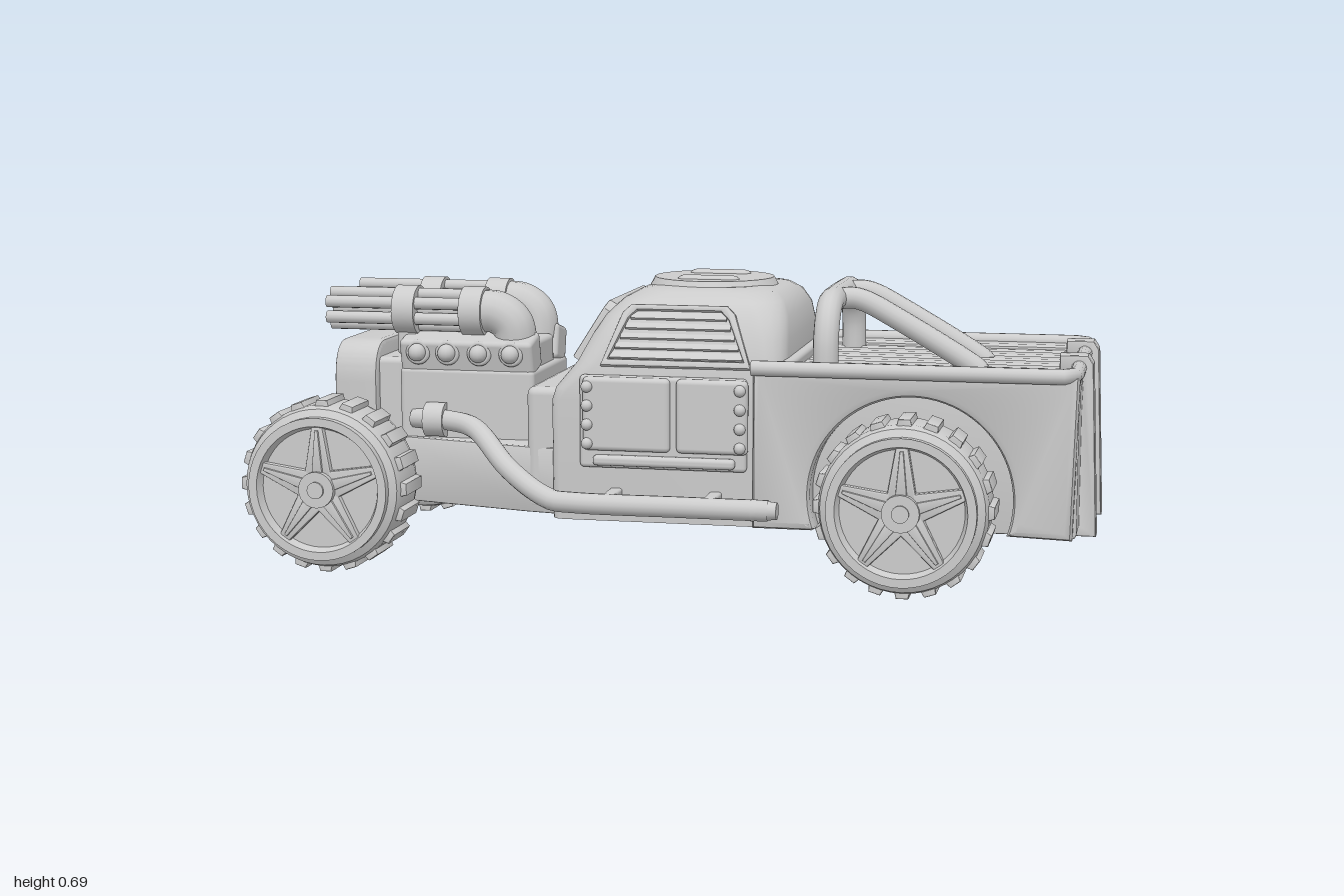
import * as THREE from 'three';
import { toCreasedNormals } from 'three/addons/utils/BufferGeometryUtils.js';
import { RoundedBoxGeometry } from 'three/addons/geometries/RoundedBoxGeometry.js';

const mat = new THREE.MeshStandardMaterial({ color: 0xcccccc });
const V = (x, y, z) => new THREE.Vector3(x, y, z);

function add(parent, name, geo, x = 0, y = 0, z = 0) {
  const m = new THREE.Mesh(geo, mat);
  m.name = name;
  m.position.set(x, y, z);
  parent.add(m);
  return m;
}
const rbox = (w, h, d, r = 0.01) => new RoundedBoxGeometry(w, h, d, 2, r);
const poly = pts => new THREE.Shape(pts.map(p => new THREE.Vector2(...p)));
const tube = (pts, r, closed = false, tension = 0.3) => new THREE.TubeGeometry(
  new THREE.CatmullRomCurve3(pts.map(p => V(...p)), closed, 'catmullrom', tension), 64, r, 14, closed);
const cylX = (r, len, n = 20) => new THREE.CylinderGeometry(r, r, len, n).rotateZ(Math.PI / 2);
const cylZ = (r, len, n = 20) => new THREE.CylinderGeometry(r, r, len, n).rotateX(Math.PI / 2);

// Extrusion centred on z = 0, with the bevel kept inside the outline
function slab(shape, depth, bevel = 0.006) {
  const g = new THREE.ExtrudeGeometry(shape, {
    depth: depth - 2 * bevel, bevelThickness: bevel, bevelSize: bevel, bevelOffset: -bevel,
    bevelSegments: 2, curveSegments: 24 });
  return toCreasedNormals(g.translate(0, 0, bevel - depth / 2), 0.6);
}

// Stack of rounded rectangles: each row is [y, x0, x1, half width, corner radius]
function loft(rows) {
  const pos = [], idx = [], k = 6, n = 4 * k;
  for (const [y, x0, x1, h, r] of rows) {
    for (let i = 0; i < n; i++) {
      const q = Math.floor(i / k), a = (q + (i % k) / (k - 1)) * Math.PI / 2;
      const cx = q === 0 || q === 3 ? x1 - r : x0 + r, cz = q < 2 ? h - r : r - h;
      pos.push(cx + r * Math.cos(a), y, cz + r * Math.sin(a));
    }
  }
  for (let j = 0; j < rows.length - 1; j++) for (let i = 0; i < n; i++) {
    const a = j * n + i, b = j * n + (i + 1) % n;
    idx.push(a, a + n, b, b, a + n, b + n);
  }
  const top = (rows.length - 1) * n;
  for (let i = 1; i < n - 1; i++) idx.push(0, i, i + 1, top, top + i + 1, top + i);
  const g = new THREE.BufferGeometry();
  g.setAttribute('position', new THREE.Float32BufferAttribute(pos, 3));
  g.setIndex(idx);
  return toCreasedNormals(g, 0.6);
}

// Wheel facing +z, inner face at z = 0
function makeWheel(name) {
  const w = new THREE.Group();
  w.name = name;
  const prof = [[0, 0.01], [0.1, 0.01], [0.13, 0], [0.17, 0.002], [0.188, 0.015], [0.194, 0.04], [0.194, 0.14],
    [0.187, 0.16], [0.17, 0.17], [0.17, 0.19], [0.15, 0.19], [0.142, 0.168], [0, 0.168]];
  const lathe = new THREE.LatheGeometry(prof.map(p => new THREE.Vector2(...p)), 48).rotateX(Math.PI / 2);
  add(w, 'tyre', toCreasedNormals(lathe, 0.6));
  const tread = slab(poly([[-0.02, -0.012], [0.02, -0.012], [0.014, 0.012], [-0.014, 0.012]]), 0.115, 0.004);
  for (let i = 0; i < 20; i++) {
    const a = i / 20 * Math.PI * 2;
    add(w, 'treadLug', tread, -Math.sin(a) * 0.194, Math.cos(a) * 0.194, 0.088).rotation.z = a;
  }
  // five tapering spokes, each with a raised ridge
  const spoke = slab(poly([[-0.036, 0.02], [0.036, 0.02], [0.014, 0.148], [-0.014, 0.148]]), 0.024, 0.005);
  const ridge = slab(poly([[-0.014, 0.03], [0.014, 0.03], [0.004, 0.14], [-0.004, 0.14]]), 0.012, 0.003);
  for (let i = 0; i < 5; i++) {
    const a = i / 5 * Math.PI * 2;
    add(w, 'spoke', spoke, 0, 0, 0.17).rotation.z = a;
    add(w, 'spokeRidge', ridge, 0, 0, 0.182).rotation.z = a;
  }
  add(w, 'hub', cylZ(0.043, 0.035, 24), 0, 0, 0.18);
  add(w, 'hubCap', cylZ(0.02, 0.02), 0, 0, 0.193);
  return w;
}

// Louvred window facing +z with its base at y = 0
function makeLouvre(name, bottom, top, h, slats) {
  const g = new THREE.Group(), c = 0.02;
  g.name = name;
  const outline = (b, t, y0, y1) => [[-b, y0], [b, y0], [t + c / 2, y1 - c], [t - c / 2, y1], [c / 2 - t, y1], [-t - c / 2, y1 - c]];
  const frame = poly(outline(bottom, top, 0, h));
  frame.holes.push(poly(outline(bottom - 0.018, top - 0.015, 0.016, h - 0.014)));
  add(g, 'windowFrame', slab(frame, 0.03, 0.005));
  for (let i = 0; i < slats; i++) {
    const t = (i + 0.5) / slats, w = bottom + (top - bottom) * t - 0.016;
    add(g, 'louvre', new THREE.BoxGeometry(2 * w, 0.022, 0.006), 0, 0.016 + t * (h - 0.03), 0.006).rotation.x = -0.5;
  }
  return g;
}

export function createModel() {
  const car = new THREE.Group();
  car.name = 'hotRodTruck';

  // Chassis pan and firewall
  const plan = poly([[-0.86, -0.13], [-0.68, -0.165], [-0.35, -0.245], [-0.2, -0.27], [0.3, -0.27],
    [0.3, 0.27], [-0.2, 0.27], [-0.35, 0.245], [-0.68, 0.165], [-0.86, 0.13]]);
  add(car, 'chassis', slab(plan, 0.16).rotateX(Math.PI / 2), 0, 0.21, 0);
  add(car, 'firewall', rbox(0.12, 0.3, 0.5, 0.02), -0.29, 0.285, 0);

  // Cab
  add(car, 'cab', loft([[0.125, -0.28, 0.27, 0.285, 0.03], [0.41, -0.28, 0.27, 0.29, 0.03],
    [0.44, -0.272, 0.275, 0.29, 0.04], [0.5, -0.225, 0.28, 0.285, 0.06], [0.56, -0.195, 0.278, 0.27, 0.07],
    [0.61, -0.165, 0.272, 0.25, 0.08], [0.645, -0.13, 0.255, 0.225, 0.09], [0.664, -0.095, 0.23, 0.19, 0.09],
    [0.672, -0.05, 0.19, 0.15, 0.09]]));
  add(car, 'roofHatch', new THREE.CylinderGeometry(0.145, 0.157, 0.022, 40), 0.06, 0.674, 0);
  for (const s of [1, -1]) {
    add(car, 'roofHandle', new THREE.CapsuleGeometry(0.02, 0.11, 6, 12).rotateZ(Math.PI / 2).scale(1, 0.5, 1), 0.06, 0.684, s * 0.075);
  }
  const screen = makeLouvre('windscreen', 0.22, 0.185, 0.155, 6);
  screen.position.set(-0.228, 0.5, 0);
  screen.rotation.set(-0.54, -Math.PI / 2, 0, 'YXZ');
  car.add(screen);

  // Radiator with grille bars
  const rad = poly([[-0.155, 0.125], [0.155, 0.125], [0.16, 0.42]]);
  rad.bezierCurveTo(0.16, 0.49, 0.13, 0.52, 0.08, 0.52);
  rad.lineTo(-0.08, 0.52);
  rad.bezierCurveTo(-0.13, 0.52, -0.16, 0.49, -0.16, 0.42);
  add(car, 'radiator', slab(rad, 0.11, 0.012).rotateY(-Math.PI / 2), -0.81, 0, 0);
  for (let i = -4; i <= 4; i++) {
    const h = 0.34 - Math.abs(i) * 0.012;
    add(car, 'grilleBar', rbox(0.02, h, 0.014, 0.005), -0.866, 0.145 + h / 2, i * 0.029);
  }
  add(car, 'radiatorShroud', rbox(0.08, 0.34, 0.27, 0.015), -0.73, 0.31, 0);

  // Engine
  add(car, 'engineBlock', rbox(0.34, 0.25, 0.32, 0.012), -0.525, 0.335, 0);
  add(car, 'engineTop', rbox(0.32, 0.09, 0.14, 0.012), -0.525, 0.48, 0);

  // Front axle
  add(car, 'frontAxle', cylZ(0.032, 0.6), -0.795, 0.215, 0);

  for (const s of [1, -1]) {
    for (const [x, end] of [[-0.795, 'front'], [0.58, 'rear']]) {
      const w = makeWheel(end + 'Wheel');
      w.position.set(x, 0.21, s * 0.29);
      if (s < 0) w.rotation.y = Math.PI;
      car.add(w);
    }
    add(car, 'axleKnuckle', rbox(0.13, 0.1, 0.04), -0.795, 0.22, s * 0.278);
    add(car, 'axleArm', rbox(0.07, 0.08, 0.15), -0.795, 0.23, s * 0.21);

    // Cylinder head with ports
    add(car, 'cylinderHead', rbox(0.335, 0.09, 0.09, 0.012), -0.525, 0.495, s * 0.12).rotation.x = s * 0.25;
    for (const x of [-0.645, -0.57, -0.49, -0.41]) {
      add(car, 'exhaustPort', new THREE.SphereGeometry(0.022, 14, 10), x, 0.5, s * 0.175);
      add(car, 'portRing', new THREE.TorusGeometry(0.024, 0.007, 8, 20), x, 0.5, s * 0.166);
    }

    // Bundled intake barrels with bands and elbow
    const barrels = new THREE.Group();
    barrels.name = 'intakeBarrels';
    barrels.position.set(0, 0.597, s * 0.107);
    car.add(barrels);
    for (let i = 0; i < 6; i++) {
      const a = (i + 0.5) / 6 * Math.PI * 2;
      const y = Math.sin(a) * 0.038, z = Math.cos(a) * 0.038;
      add(barrels, 'barrel', cylX(0.015, 0.39, 12), -0.69, y, z);
    }
    add(barrels, 'barrelCore', cylX(0.022, 0.37), -0.69);
    for (const x of [-0.685, -0.515]) add(barrels, 'barrelBand', cylX(0.06, 0.055, 24), x);
    add(barrels, 'barrelBracket', rbox(0.05, 0.1, 0.05), -0.685, -0.06);
    add(car, 'elbow', tube([[-0.51, 0.597, s * 0.107], [-0.46, 0.595, s * 0.107], [-0.422, 0.565, s * 0.105],
      [-0.415, 0.5, s * 0.1], [-0.415, 0.45, s * 0.1]], 0.052, false, 0.5));

    // Side exhaust
    add(car, 'exhaustPipe', tube([[-0.66, 0.335, s * 0.15], [-0.56, 0.335, s * 0.18], [-0.48, 0.32, s * 0.22],
      [-0.38, 0.245, s * 0.3], [-0.28, 0.19, s * 0.345], [-0.2, 0.18, s * 0.357], [0.05, 0.18, s * 0.36], [0.26, 0.18, s * 0.36]], 0.025, false, 0.5));
    add(car, 'exhaustFlange', cylX(0.042, 0.05), -0.6, 0.335, s * 0.165);
    add(car, 'exhaustTip', new THREE.CylinderGeometry(0.02, 0.026, 0.06, 20).rotateZ(-Math.PI / 2), 0.25, 0.18, s * 0.36);
    for (const x of [-0.12, 0.12]) add(car, 'exhaustBracket', rbox(0.03, 0.03, 0.09, 0.006), x, 0.19, s * 0.315);

    // Door armour, sill and rivets
    add(car, 'doorFrame', rbox(0.4, 0.22, 0.03), -0.005, 0.365, s * 0.288);
    for (const x of [-0.09, 0.115]) add(car, 'doorPlate', rbox(x < 0 ? 0.21 : 0.17, 0.175, 0.03, 0.012), x, 0.385, s * 0.302);
    add(car, 'doorSill', rbox(0.34, 0.025, 0.05), 0, 0.275, s * 0.295);
    for (const x of [-0.183, 0.183]) for (let i = 0; i < 4; i++) {
      add(car, 'rivet', new THREE.SphereGeometry(0.014, 12, 8), x, 0.315 + i * 0.045, s * 0.317);
    }
    const win = makeLouvre('sideWindow', 0.18, 0.125, 0.15, 5);
    win.position.set(0.025, 0.495, s * 0.287);
    win.rotation.set(-0.36, s > 0 ? 0 : Math.PI, 0, 'YXZ');
    car.add(win);

    // Bed side with wheel arch
    const side = poly([[0.21, 0.125], [0.35, 0.125]]);
    side.absarc(0.58, 0.21, 0.235, Math.PI + 0.347, -0.347, true);
    for (const p of [[0.95, 0.125], [0.96, 0.505], [0.21, 0.505]]) side.lineTo(...p);
    add(car, 'bedSide', slab(side, 0.08, 0.018), 0, 0, s * 0.272);

    // Tailgate strap hooked over the rail
    const strap = poly([[0.905, 0.535], [0.97, 0.535], [0.983, 0.515], [0.998, 0.11], [0.925, 0.11], [0.925, 0.14],
      [0.955, 0.14], [0.95, 0.5], [0.905, 0.5]]);
    add(car, 'tailgateStrap', slab(strap, 0.06), 0, 0, s * 0.135);

    // Roll bar brace
    add(car, 'rollBarBrace', tube([[0.37, 0.645, s * 0.085], [0.43, 0.645, s * 0.085], [0.52, 0.6, s * 0.085],
      [0.69, 0.5, s * 0.085], [0.72, 0.47, s * 0.085]], 0.026, false, 0.5));
  }

  // Bed core, slatted deck and rail
  const core = poly([[0.21, 0.125], [0.95, 0.125], [0.96, 0.475], [0.21, 0.475]]);
  add(car, 'bedCore', slab(core, 0.5));
  add(car, 'tailgate', rbox(0.03, 0.38, 0.56), 0.943, 0.315, 0);
  for (let i = -3; i <= 3; i++) add(car, 'deckSlat', rbox(0.72, 0.025, 0.058, 0.008), 0.58, 0.482, i * 0.08);
  const rail = [[0.21, 0.315], [0.4, 0.315], [0.7, 0.315], [0.9, 0.315], [0.937, 0.303], [0.949, 0.27], [0.949, 0.1]];
  const railPath = [...rail, ...rail.map(([x, z]) => [x, -z]).reverse()].map(([x, z]) => [x, 0.505, z]);
  add(car, 'bedRail', tube(railPath, 0.018, false, 0.4));
  add(car, 'cabRail', rbox(0.03, 0.035, 0.62), 0.285, 0.5, 0);

  // Roll bar hoop
  const hoop = [[0.47, 0.235], [0.56, 0.23], [0.615, 0.205], [0.643, 0.16], [0.647, 0.08]];
  add(car, 'rollBar', tube([...hoop, ...hoop.map(([y, z]) => [y, -z]).reverse()].map(([y, z]) => [0.37, y, z]), 0.03, false, 0.5));
  return car;
}
